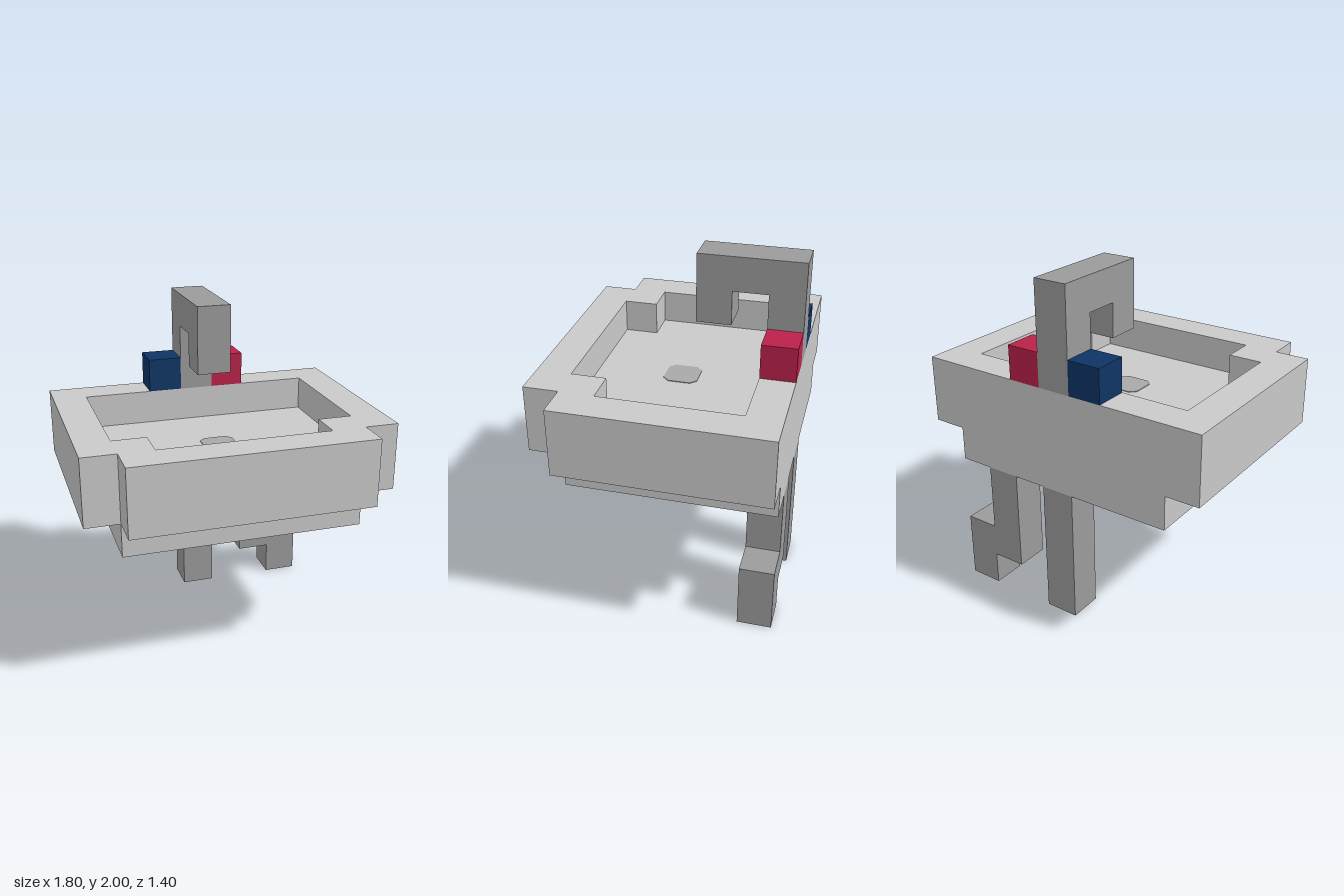
import * as THREE from 'three';

const material = (name, color) => {
  const m = new THREE.MeshStandardMaterial({ color });
  m.name = name;
  return m;
};

const shapeOf = (points) => new THREE.Shape(points.map(([x, y]) => new THREE.Vector2(x, y)));

// Extrudes a plan outline given as [x, z] upward from y0 to y1.
function planSlab(shape, y0, y1) {
  const geometry = new THREE.ExtrudeGeometry(shape, { depth: y1 - y0, bevelEnabled: false });
  geometry.rotateX(Math.PI / 2);
  geometry.translate(0, y1, 0);
  return geometry;
}

// Rectangle with its two front corners notched by 0.2.
const notchedPlan = (halfWidth, back, front) => [
  [-halfWidth, back], [halfWidth, back], [halfWidth, front - 0.2],
  [halfWidth - 0.2, front - 0.2], [halfWidth - 0.2, front],
  [-halfWidth + 0.2, front], [-halfWidth + 0.2, front - 0.2], [-halfWidth, front - 0.2],
];

export function createModel() {
  const ceramic = material('ceramic grey', 0xc9c9c9);
  const metal = material('pipe grey', 0x9b9b9b);
  const drainGrey = material('drain grey', 0xa8a8a8);
  const red = material('hot red', 0xb9214a);
  const blue = material('cold blue', 0x0f3566);

  const model = new THREE.Group();
  model.name = 'sink';
  const add = (name, geometry, mat) => {
    const mesh = new THREE.Mesh(geometry, mat);
    mesh.name = name;
    model.add(mesh);
  };
  const box = (name, mat, [x0, x1], [y0, y1], [z0, z1]) => {
    const geometry = new THREE.BoxGeometry(x1 - x0, y1 - y0, z1 - z0);
    geometry.translate((x0 + x1) / 2, (y0 + y1) / 2, (z0 + z1) / 2);
    add(name, geometry, mat);
  };

  // Basin: rim ring with an open bowl, solid floor and a narrower underside
  const rim = shapeOf(notchedPlan(0.9, -0.7, 0.7));
  rim.holes.push(shapeOf(notchedPlan(0.7, -0.5, 0.5)));
  add('basinRim', planSlab(rim, 1.2, 1.4), ceramic);
  add('basinFloor', planSlab(shapeOf(notchedPlan(0.9, -0.7, 0.7)), 1.0, 1.2), ceramic);
  box('basinUnderside', ceramic, [-0.7, 0.7], [0.8, 1.0], [-0.7, 0.5]);

  // Drain plate with cut corners
  const r = 0.1, c = 0.065;
  const drain = shapeOf([[-c, -r], [c, -r], [r, -c], [r, c], [c, r], [-c, r], [-r, c], [-r, -c]]);
  add('drain', planSlab(drain, 1.2, 1.204), drainGrey);

  // Faucet: hooked side profile as [z, y], extruded across x
  const hook = shapeOf([
    [-0.7, 1.4], [-0.5, 1.4], [-0.5, 1.8], [-0.3, 1.8],
    [-0.3, 1.6], [-0.1, 1.6], [-0.1, 2], [-0.7, 2],
  ]);
  const faucet = new THREE.ExtrudeGeometry(hook, { depth: 0.2, bevelEnabled: false });
  faucet.rotateY(-Math.PI / 2);
  faucet.translate(0.1, 0, 0);
  add('faucet', faucet, metal);

  // Taps
  box('hotTap', red, [0.1, 0.3], [1.4, 1.6], [-0.7, -0.5]);
  box('coldTap', blue, [-0.3, -0.1], [1.4, 1.6], [-0.7, -0.5]);

  // Pipes below the basin
  box('straightPipe', metal, [-0.1, 0.1], [0, 0.8], [-0.7, -0.5]);
  const step = shapeOf([
    [0.3, 0.2], [0.5, 0.2], [0.5, 0], [0.7, 0],
    [0.7, 0.4], [0.5, 0.4], [0.5, 0.8], [0.3, 0.8],
  ]);
  const bentPipe = new THREE.ExtrudeGeometry(step, { depth: 0.2, bevelEnabled: false });
  bentPipe.translate(0, 0, -0.7);
  add('bentPipe', bentPipe, metal);

  return model;
}
